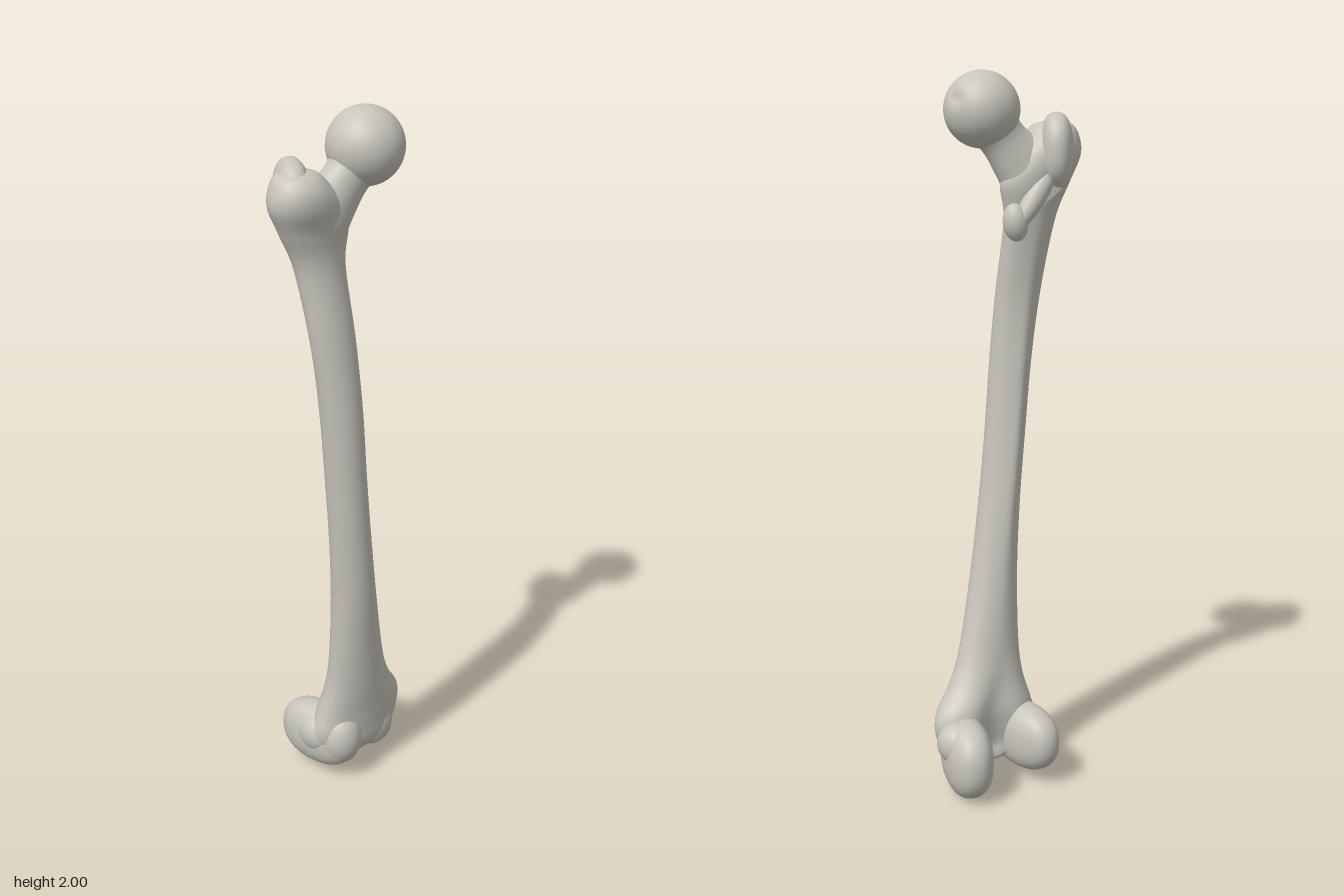
import * as THREE from 'three';
import { mergeVertices } from 'three/addons/utils/BufferGeometryUtils.js';

const bone = new THREE.MeshStandardMaterial({ color: 0xc6c4bb });
bone.name = 'bone';

// Smooth skin over horizontal sections [y, x0, x1, zBack, zFront, hollow];
// hollow > 0 dents the back, hollow < 0 raises a ridge there
function loft(sections, rows, sides = 48) {
  const centres = new THREE.CatmullRomCurve3(
    sections.map(([y, x0, x1, z0, z1]) => new THREE.Vector3((x0 + x1) / 2, y, (z0 + z1) / 2)), false, 'catmullrom');
  const sizes = new THREE.CatmullRomCurve3(
    sections.map(([, x0, x1, z0, z1, n = 0]) => new THREE.Vector3((x1 - x0) / 2, n, (z1 - z0) / 2)), false, 'catmullrom');
  const pos = [], index = [];
  for (let i = 0; i <= rows; i++) {
    const c = centres.getPoint(i / rows), s = sizes.getPoint(i / rows);
    for (let j = 0; j < sides; j++) {
      const a = (j / sides) * Math.PI * 2, u = Math.cos(a), v = Math.sin(a);
      const dent = v < 0 ? s.y * Math.exp(-((u / 0.4) ** 2)) * -v : 0;
      pos.push(c.x + s.x * u, c.y, c.z + s.z * v + dent);
      if (i === rows) continue;
      const p = i * sides + j, q = i * sides + ((j + 1) % sides);
      index.push(p, p + sides, q, q, p + sides, q + sides);
    }
  }
  const g = new THREE.BufferGeometry();
  g.setAttribute('position', new THREE.Float32BufferAttribute(pos, 3));
  g.setIndex(index);
  g.computeVertexNormals();
  return g;
}

// Unit ball reshaped by a rule, welded so its seam stays smooth
function shapedBall(rule) {
  let g = new THREE.SphereGeometry(1, 48, 32);
  g.deleteAttribute('uv');
  g.deleteAttribute('normal');
  g = mergeVertices(g, 1e-4);
  const p = g.attributes.position, v = new THREE.Vector3();
  for (let i = 0; i < p.count; i++) {
    v.fromBufferAttribute(p, i);
    rule(v);
    p.setXYZ(i, v.x, v.y, v.z);
  }
  g.computeVertexNormals();
  return g;
}

export function createModel() {
  const group = new THREE.Group();
  group.name = 'thighBone';

  const add = (name, geometry) => {
    const mesh = new THREE.Mesh(geometry, bone);
    mesh.name = name;
    group.add(mesh);
    return mesh;
  };
  // Rounded lump; power above 2 makes it fuller
  const lump = (name, centre, radii, rotation = [0, 0, 0], power = 2) => {
    const mesh = add(name, shapedBall((v) => {
      const k = Math.abs(v.x) ** power + Math.abs(v.y) ** power + Math.abs(v.z) ** power;
      v.multiplyScalar(k ** (-1 / power));
    }));
    mesh.position.set(...centre);
    mesh.scale.set(...radii);
    mesh.rotation.set(...rotation);
  };

  // Shaft, flaring into both ends, with a faint ridge along the back
  add('shaft', loft([
    [0.055, 0.03, 0.07, 0.0, 0.03],
    [0.07, -0.05, 0.16, -0.03, 0.065],
    [0.11, -0.09, 0.2, -0.05, 0.09, 0.03],
    [0.16, -0.105, 0.225, -0.065, 0.095, 0.04],
    [0.22, -0.09, 0.218, -0.06, 0.1, 0.03],
    [0.3, -0.072, 0.158, -0.035, 0.108, 0.01],
    [0.4, -0.068, 0.115, -0.013, 0.115],
    [0.6, -0.075, 0.065, 0.008, 0.13, -0.004],
    [0.8, -0.09, 0.03, 0.02, 0.137, -0.009],
    [1.0, -0.11, 0.005, 0.024, 0.14, -0.01],
    [1.2, -0.13, -0.01, 0.024, 0.138, -0.01],
    [1.4, -0.155, -0.02, 0.016, 0.12, -0.008],
    [1.6, -0.18, -0.025, -0.02, 0.09, -0.004],
    [1.7, -0.222, -0.008, -0.042, 0.095],
    [1.77, -0.255, -0.04, -0.052, 0.11],
    [1.82, -0.25, -0.085, -0.045, 0.105],
    [1.855, -0.225, -0.12, -0.025, 0.075],
    [1.865, -0.176, -0.174, 0.02, 0.022],
  ], 136));

  // Neck, leaning from the shaft up into the head
  const root = new THREE.Vector3(-0.13, 1.68, 0.02), headCentre = new THREE.Vector3(0.032, 1.897, 0.067);
  const neck = add('neck', loft([
    [-0.02, -0.08, 0.08, -0.06, 0.065],
    [0.05, -0.09, 0.088, -0.065, 0.07],
    [0.11, -0.08, 0.078, -0.06, 0.063],
    [0.17, -0.066, 0.068, -0.056, 0.058],
    [0.21, -0.068, 0.07, -0.063, 0.063],
    [0.25, -0.08, 0.08, -0.075, 0.075],
  ], 30));
  neck.position.copy(root);
  neck.quaternion.setFromUnitVectors(new THREE.Vector3(0, 1, 0), headCentre.clone().sub(root).normalize());

  // Ball head with a small pit on the inner side
  const pit = new THREE.Vector3(0.93, 0.3, -0.15).normalize();
  const head = add('head', shapedBall((v) => {
    const d = v.distanceTo(pit);
    v.multiplyScalar(1 - 0.09 * Math.exp(-((d / 0.17) ** 2)));
  }));
  head.position.copy(headCentre);
  head.scale.setScalar(0.103);

  // Bony lumps at the upper end
  lump('greaterTrochanter', [-0.165, 1.785, -0.002], [0.046, 0.103, 0.092], [0, -0.59, 0], 2.4);
  lump('trochanterCrest', [-0.085, 1.675, -0.024], [0.03, 0.11, 0.03], [0, 0, 0.62]);
  lump('lesserTrochanter', [-0.024, 1.6, -0.01], [0.034, 0.052, 0.035], [0, 0, -0.15]);

  // Knuckles of the lower end, parted by a notch at the back
  lump('innerCondyle', [0.168, 0.11, -0.048], [0.068, 0.11, 0.122], [0, -0.33, 0], 2.3);
  lump('outerCondyle', [-0.04, 0.122, -0.035], [0.066, 0.096, 0.13], [0, 0.06, 0], 2.3);
  lump('innerEpicondyle', [0.195, 0.155, -0.04], [0.056, 0.062, 0.06]);
  lump('outerEpicondyle', [-0.07, 0.14, -0.02], [0.045, 0.06, 0.06]);

  // Two swellings at the front form the kneecap groove
  lump('outerGrooveLip', [-0.03, 0.135, 0.045], [0.062, 0.085, 0.06]);
  lump('innerGrooveLip', [0.115, 0.125, 0.035], [0.065, 0.085, 0.056]);
  return group;
}
